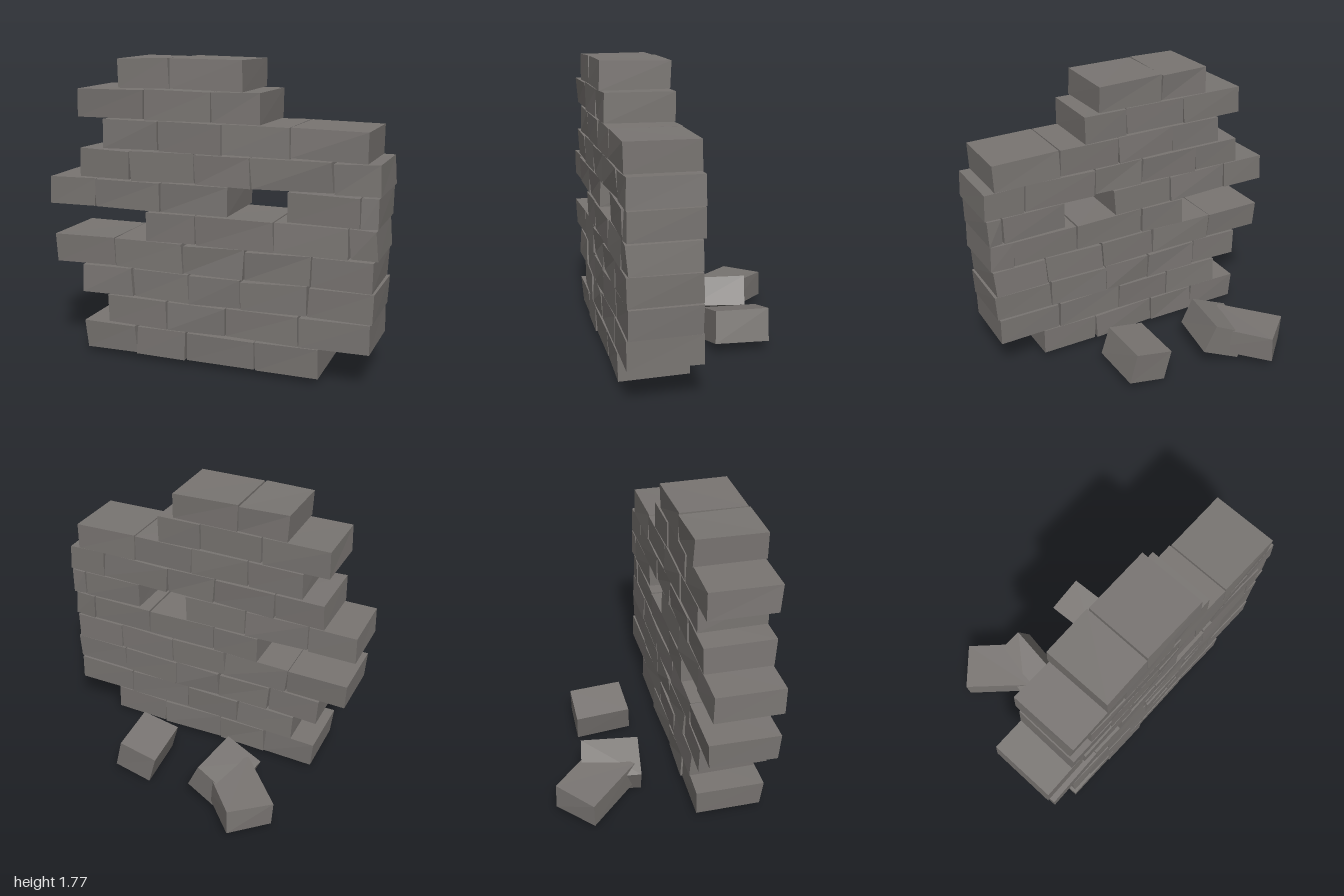
import * as THREE from 'three';

const FRONT = 0.604, BACK = 0.191;
const FIRST = 0.043, STEP = 0.1745, HEIGHT = 0.166, JOINT = 0.008;

// Courses from the ground up, each one or two runs of joint positions along x
const courses = [
  [[-0.78, -0.44, -0.12, 0.3, 0.675]],
  [[-0.63, -0.24, 0.125, 0.555, 0.96]],
  [[-0.79, -0.455, -0.1, 0.215, 0.605, 0.975]],
  [[-0.96, -0.57, -0.135, 0.237, 0.625, 0.97]],
  [[-0.365, -0.055, 0.41, 0.83, 0.985]],
  [[-0.99, -0.685, -0.27, 0.142], [0.483, 0.89, 0.988]],
  [[-0.78, -0.46, -0.057, 0.273, 0.738, 0.995]],
  [[-0.63, -0.277, 0.104, 0.5, 0.925]],
  [[-0.785, -0.36, 0.045, 0.332]],
  [[-0.52, -0.2, 0.232]],
];

// Small seeded number generator in the range -1..1
function seeded(seed) {
  return () => {
    seed = (seed * 16807) % 2147483647;
    return (seed / 2147483647) * 2 - 1;
  };
}

const rand = seeded(4217);

// Box leaning sideways and rising to one end, with slightly uneven corners
function roughBox(w, h, d, lean, rise) {
  const geometry = new THREE.BoxGeometry(w, h, d);
  const p = geometry.attributes.position;
  const corners = new Map();
  for (let i = 0; i < p.count; i++) {
    const sx = Math.sign(p.getX(i)), sy = Math.sign(p.getY(i)), sz = Math.sign(p.getZ(i));
    const key = `${sx},${sy},${sz}`;
    if (!corners.has(key)) {
      corners.set(key, [sy * lean + rand() * 0.003, sx * rise + rand() * 0.004, rand() * 0.008]);
    }
    const [dx, dy, dz] = corners.get(key);
    p.setXYZ(i, p.getX(i) + dx, p.getY(i) + dy, p.getZ(i) + dz);
  }
  const flat = geometry.toNonIndexed();
  flat.computeVertexNormals();
  return flat;
}

export function createModel() {
  const model = new THREE.Group();
  model.name = 'ruinedBrickWall';
  const stone = new THREE.MeshStandardMaterial({ color: 0x797572 });
  stone.name = 'warmGreyStone';

  function addBrick(parent, name, w, h, d, lean, rise) {
    const brick = new THREE.Mesh(roughBox(w, h, d, lean, rise), stone);
    brick.name = name;
    parent.add(brick);
    return brick;
  }

  // Standing wall, course by course
  const wall = new THREE.Group();
  wall.name = 'wall';
  model.add(wall);
  courses.forEach((runs, row) => {
    const course = new THREE.Group();
    course.name = `course${row + 1}`;
    course.position.set(0, FIRST + row * STEP + HEIGHT / 2, (FRONT + BACK) / 2);
    wall.add(course);
    for (const run of runs) {
      for (let i = 1; i < run.length; i++) {
        const width = run[i] - run[i - 1] - JOINT;
        const brick = addBrick(course, 'brick', width, HEIGHT, FRONT - BACK, rand() * 0.006, rand() * 0.004);
        brick.position.x = (run[i] + run[i - 1]) / 2;
      }
    }
  });

  // Loose bricks behind the wall: one alone, one leaning on another
  const single = addBrick(model, 'fallenBrickSingle', 0.25, 0.2, 0.35, 0, 0);
  single.position.set(0.225, 0.141, -0.215);
  single.rotation.set(-0.05, 0.05, 0.24, 'YXZ');

  const leaning = addBrick(model, 'fallenBrickLeaning', 0.26, 0.19, 0.36, 0, 0);
  leaning.position.set(-0.35, 0.155, -0.25);
  leaning.rotation.set(-0.01, -0.14, 0.41, 'YXZ');

  const flat = addBrick(model, 'fallenBrickFlat', 0.29, 0.165, 0.42, 0, 0);
  flat.position.set(-0.497, 0.142, -0.375);
  flat.rotation.set(-0.05, 0.77, 0.03, 'YXZ');

  return model;
}
